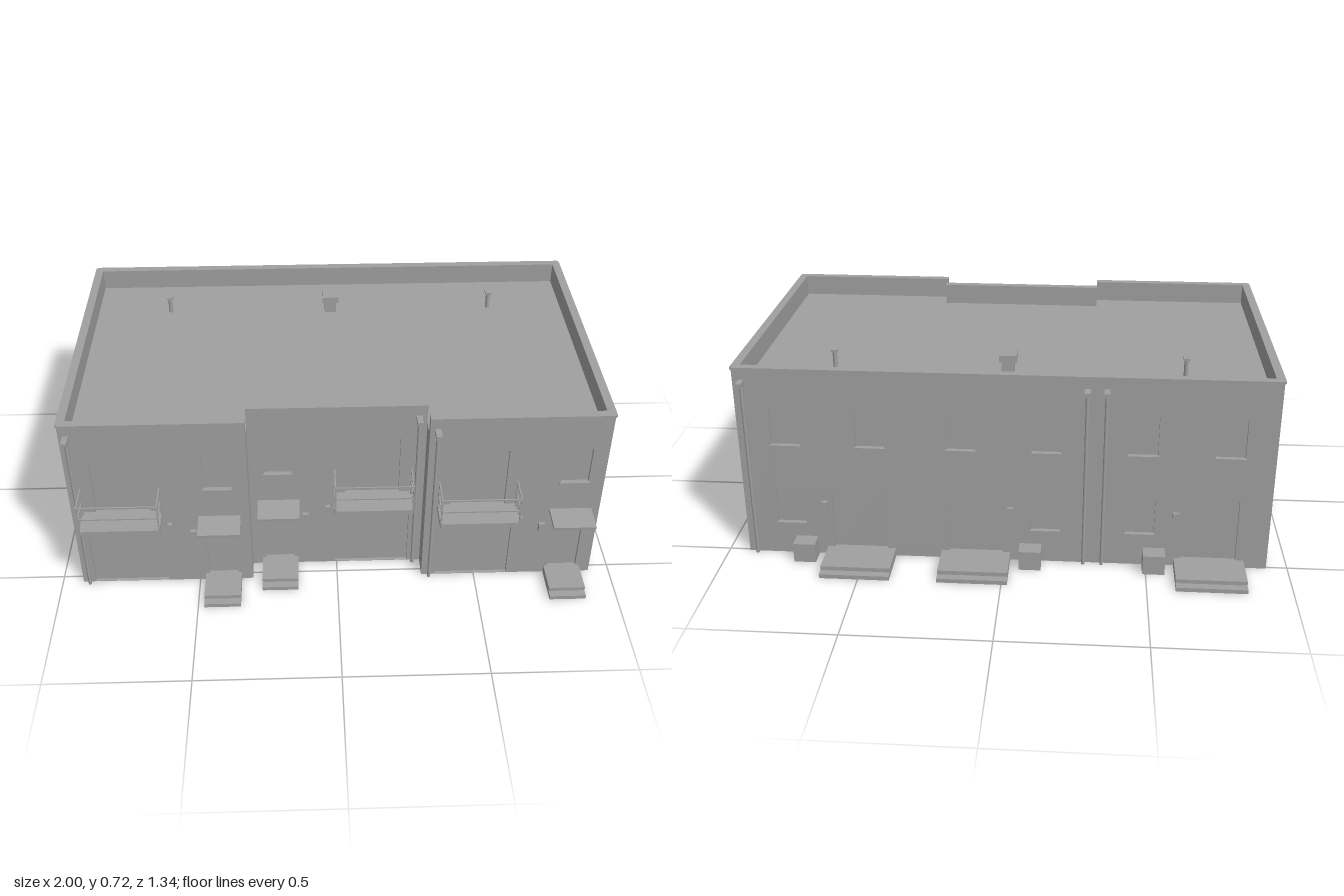
import * as THREE from 'three';

const GREY = new THREE.MeshStandardMaterial({ color: 0xa0a0a0 });
GREY.name = 'plain grey';

const T = 0.025, TOP = 0.717, ROOF = 0.64;
const XW = 0.925, ZF = 0.527, ZB = -0.508, ZR = 0.45, XR = 0.308;

function add(parent, name, geometry) {
  const mesh = new THREE.Mesh(geometry, GREY);
  mesh.name = name;
  parent.add(mesh);
  return mesh;
}

// Box given by its limits on each axis
function box(parent, name, x0, x1, y0, y1, z0, z1) {
  const m = add(parent, name, new THREE.BoxGeometry(Math.abs(x1 - x0), y1 - y0, Math.abs(z1 - z0)));
  m.position.set((x0 + x1) / 2, (y0 + y1) / 2, (z0 + z1) / 2);
  return m;
}

function rectangle(path, x0, x1, y0, y1) {
  path.moveTo(x0, y0);
  path.lineTo(x1, y0);
  path.lineTo(x1, y1);
  path.lineTo(x0, y1);
  path.closePath();
  return path;
}

// Wall with its outer face on local z = 0; openings are [centre, width, y0, y1, name]
function facade(name, u0, u1, openings) {
  const g = new THREE.Group();
  g.name = name;
  const shape = rectangle(new THREE.Shape(), u0, u1, 0, TOP);
  for (const [c, w, y0, y1] of openings) {
    shape.holes.push(rectangle(new THREE.Path(), c - w / 2, c + w / 2, y0, y1));
  }
  const geo = new THREE.ExtrudeGeometry(shape, { depth: T, bevelEnabled: false });
  add(g, 'wall', geo.translate(0, 0, -T));
  for (const [c, w, y0, y1, kind] of openings) {
    box(g, kind + 'Panel', c - w / 2, c + w / 2, y0, y1, -0.02, -0.011);
    if (kind === 'window') box(g, 'sill', c - w / 2 - 0.004, c + w / 2 + 0.004, y0 - 0.007, y0, -T, 0.007);
  }
  box(g, 'coping', u0, u1, TOP - 0.008, TOP, -T, 0.005);
  return g;
}

// Rain pipe with hopper head
function rainPipe(parent, x) {
  const pipe = add(parent, 'rainPipe', new THREE.CylinderGeometry(0.006, 0.006, 0.66, 10));
  pipe.position.set(x, 0.33, 0.011);
  box(parent, 'rainHopper', x - 0.01, x + 0.01, 0.658, 0.672, -0.01, 0.042);
}

// Balcony with posts and two rails
function balcony(parent, c) {
  const g = new THREE.Group();
  g.name = 'balcony';
  parent.add(g);
  const a = c - 0.1375, b = c + 0.1375, d = 0.102, r = 0.005;
  box(g, 'balconySlab', a, b, 0.32, 0.337, -0.04, d);
  for (const x of [a, b - r]) {
    for (const z of [0.012, d - r]) box(g, 'railPost', x, x + r, 0.337, 0.443, z, z + r);
    for (const y of [0.388, 0.438]) box(g, 'sideRail', x, x + r, y, y + r, 0, d);
  }
  for (const y of [0.388, 0.438]) box(g, 'frontRail', a, b, y, y + r, d - r, d);
}

function steps(parent, c, w, d1, d2) {
  box(parent, 'upperStep', c - w / 2, c + w / 2, 0.015, 0.03, -T, d1);
  box(parent, 'lowerStep', c - w / 2, c + w / 2, 0, 0.015, -T, d2);
}

export function createModel() {
  const model = new THREE.Group();
  model.name = 'rowHouse';

  // The three homes: end homes alike, the middle one mirrored
  const homes = [
    { map: (x) => x, u: [-XW, -XR], z: ZF, pipes: [-0.9] },
    { map: (x) => -0.62 - x, u: [-XR, XR], z: ZR, pipes: [0.28] },
    { map: (x) => x + 1.235, u: [XR, XW], z: ZF, pipes: [0.335] },
  ];

  // Front walls
  for (const { map, u, z, pipes } of homes) {
    const f = facade('frontOfHome', u[0], u[1], [
      [map(-0.7475), 0.265, 0.002, 0.24, 'garageDoor'],
      [map(-0.413), 0.104, 0.03, 0.262, 'frontDoor'],
      [map(-0.413), 0.096, 0.43, 0.575, 'window'],
      [map(-0.745), 0.19, 0.337, 0.573, 'balconyDoor'],
    ]);
    f.position.z = z;
    model.add(f);
    balcony(f, map(-0.7475));
    const c = map(-0.413);
    const canopy = box(f, 'canopy', c - 0.074, c + 0.074, 0.296, 0.306, -0.03, 0.095);
    canopy.rotation.x = 0.06;
    steps(f, c, 0.13, 0.115, 0.142);
    const lamp = map(-0.588), meter = map(-0.508);
    box(f, 'wallLamp', lamp - 0.008, lamp + 0.008, 0.25, 0.28, 0, 0.014);
    box(f, 'meterBox', meter - 0.011, meter + 0.011, 0.21, 0.245, 0, 0.014);
    pipes.forEach((x) => rainPipe(f, x));
  }

  // Back wall
  const backOpenings = [];
  for (const { map } of homes) {
    const a = -map(-0.475), b = -map(-0.77), d = -map(-0.72);
    backOpenings.push(
      [a, 0.1, 0.43, 0.575, 'window'], [b, 0.1, 0.43, 0.575, 'window'],
      [a, 0.1, 0.125, 0.265, 'window'], [d, 0.19, 0.03, 0.265, 'backDoor']);
  }
  const back = facade('backWall', -XW, XW, backOpenings);
  back.position.z = ZB;
  back.rotation.y = Math.PI;
  model.add(back);
  for (const { map } of homes) {
    const c = -map(-0.722), unit = -map(-0.527), meter = -map(-0.598);
    steps(back, c, 0.245, 0.138, 0.167);
    box(back, 'outdoorUnit', unit - 0.039, unit + 0.039, 0, 0.072, 0.005, 0.066);
    box(back, 'backLamp', meter - 0.011, meter + 0.011, 0.18, 0.215, 0, 0.014);
  }
  [0.345, 0.28, -0.893].forEach((u) => rainPipe(back, u));

  // Side walls; s is +1 on the left, -1 on the right
  for (const s of [1, -1]) {
    const u = (z) => -s * z;
    const side = facade('sideWall', Math.min(u(ZF), u(ZB)), Math.max(u(ZF), u(ZB)), [
      [u(0.293), 0.126, 0.43, 0.578, 'window'],
      [u(0.293), 0.126, 0.12, 0.268, 'window'],
      [u(-0.292), 0.074, 0.494, 0.566, 'window'],
      [u(-0.292), 0.074, 0.187, 0.26, 'window'],
    ]);
    side.position.x = s * XW;
    side.rotation.y = s * Math.PI / 2;
    model.add(side);
    box(side, 'sideMeterBox', u(-0.358), u(-0.39), 0.12, 0.163, 0, 0.014);
    box(side, 'sideLamp', u(0.463), u(0.447), 0.24, 0.27, 0, 0.014);
    box(side, 'tap', u(0.455), u(0.447), 0.045, 0.055, 0, 0.01);
    box(side, 'sideOutdoorUnit', u(0.006), u(-0.076), 0, 0.073, 0.012, 0.075);
    // Short return wall beside the set-back middle home
    box(model, 'returnWall', s * XR, s * (XR + T), 0, ROOF, ZR - T, ZF - 0.001);
  }

  // Flat roof following the set-back front
  const plan = new THREE.Shape();
  const e = 0.01;
  [[-XW + e, -ZB - e], [-XW + e, -ZF + e], [-XR, -ZF + e], [-XR, -ZR + e],
    [XR, -ZR + e], [XR, -ZF + e], [XW - e, -ZF + e], [XW - e, -ZB - e]]
    .forEach(([x, y], i) => (i ? plan.lineTo(x, y) : plan.moveTo(x, y)));
  const roof = add(model, 'flatRoof', new THREE.ExtrudeGeometry(plan, { depth: 0.02, bevelEnabled: false }));
  roof.rotation.x = -Math.PI / 2;
  roof.position.y = ROOF - 0.02;

  // Roof vent and pipes
  box(model, 'roofVent', -0.022, 0.022, ROOF, 0.685, -0.317, -0.273);
  box(model, 'roofVentCap', -0.031, 0.031, 0.685, 0.71, -0.326, -0.264);
  for (const x of [-0.62, 0.615]) {
    const pipe = add(model, 'roofPipe', new THREE.CylinderGeometry(0.008, 0.008, 0.06, 10));
    pipe.position.set(x, ROOF + 0.03, -0.295);
    box(model, 'roofPipeCap', x - 0.012, x + 0.012, 0.7, 0.708, -0.307, -0.283);
  }
  return model;
}
